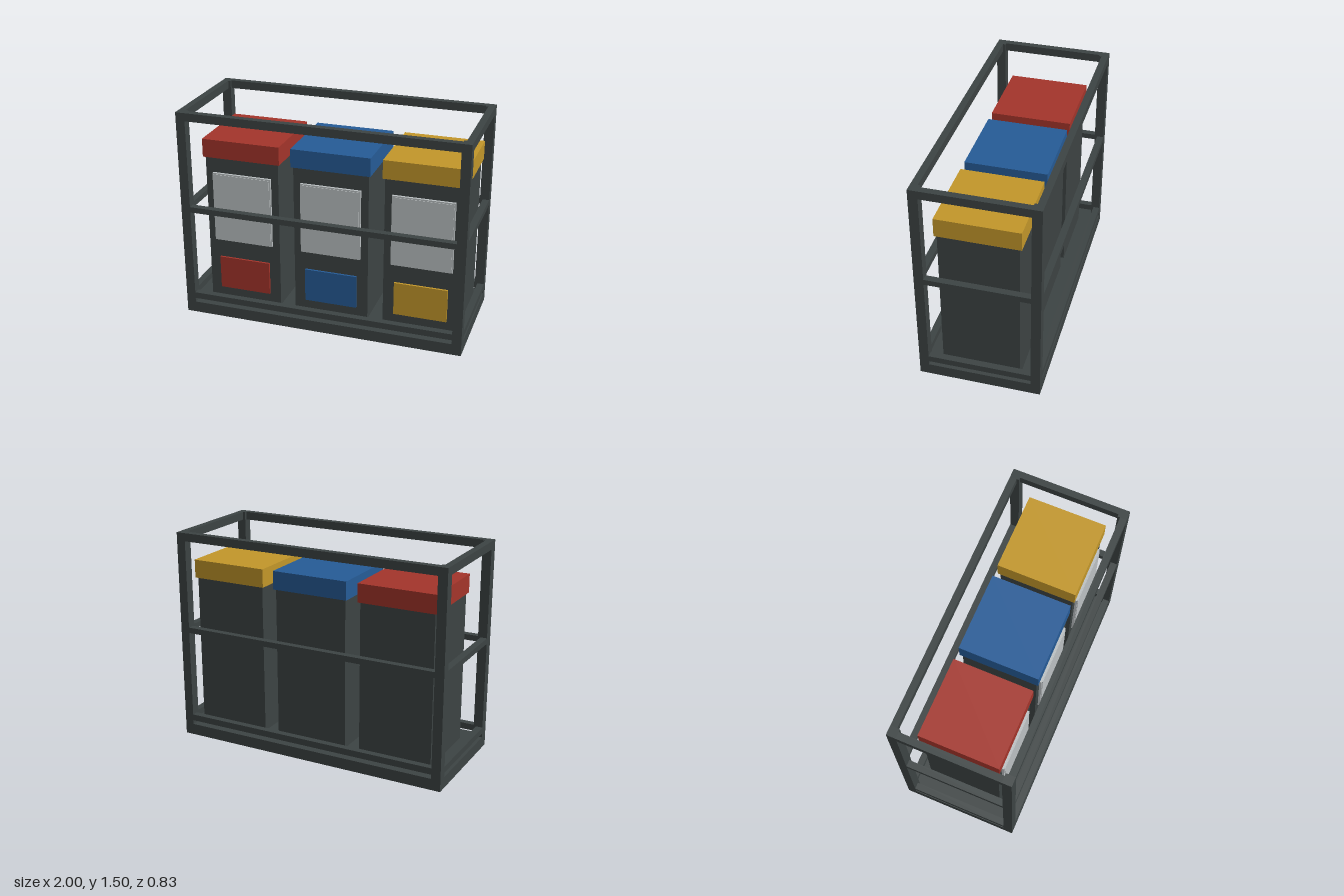
import * as THREE from 'three';

const mat = (name, color) => {
  const m = new THREE.MeshStandardMaterial({ color });
  m.name = name;
  return m;
};

// Box given by its min and max corners
function box(parent, name, material, [x0, y0, z0], [x1, y1, z1]) {
  const mesh = new THREE.Mesh(new THREE.BoxGeometry(x1 - x0, y1 - y0, z1 - z0), material);
  mesh.position.set((x0 + x1) / 2, (y0 + y1) / 2, (z0 + z1) / 2);
  mesh.name = name;
  parent.add(mesh);
  return mesh;
}

export function createModel() {
  const model = new THREE.Group();
  model.name = 'recyclingStation';
  const dark = mat('charcoal', 0x3d4444);
  const grey = mat('lightGrey', 0xbdc2c4);
  const lidColors = [mat('red', 0xa5352b), mat('blue', 0x265c98), mat('yellow', 0xc4982a)];

  const W = 1, D = 0.415, H = 1.5, POST = 0.065, RAIL = 0.047;

  // Base slab
  const frame = new THREE.Group();
  frame.name = 'frame';
  model.add(frame);
  box(frame, 'base', dark, [-W, 0, -D], [W, 0.08, D]);

  // Corner posts
  for (const sx of [-1, 1]) for (const sz of [-1, 1]) {
    const x = sx * (W - POST / 2), z = sz * (D - POST / 2), h = POST / 2;
    box(frame, 'cornerPost', dark, [x - h, 0.08, z - h], [x + h, H, z + h]);
  }

  // Lower, middle and top rails on all four sides
  for (const [y0, y1] of [[0.11, 0.155], [0.78, 0.82], [1.443, H]]) {
    for (const s of [-1, 1]) {
      const z = s * (D - RAIL / 2), x = s * (W - RAIL / 2), h = RAIL / 2;
      box(frame, 'longRail', dark, [-W + POST, y0, z - h], [W - POST, y1, z + h]);
      box(frame, 'sideRail', dark, [x - h, y0, -D + POST], [x + h, y1, D - POST]);
    }
  }

  // Three bins, each with a lid, a notice panel and a coloured label
  [-0.602, 0.038, 0.678].forEach((x, i) => {
    const bin = new THREE.Group();
    bin.name = 'bin';
    bin.position.x = x;
    model.add(bin);
    box(bin, 'binBody', dark, [-0.265, 0.08, -0.265], [0.265, 1.15, 0.265]);
    box(bin, 'lid', lidColors[i], [-0.279, 1.15, -0.28], [0.279, 1.28, 0.28]);
    box(bin, 'noticePanel', grey, [-0.213, 0.535, 0.265], [0.213, 1.04, 0.282]);
    box(bin, 'noticeFace', grey, [-0.203, 0.545, 0.282], [0.203, 1.03, 0.286]);
    box(bin, 'label', lidColors[i], [-0.186, 0.16, 0.265], [0.186, 0.4, 0.28]);
  });

  return model;
}
